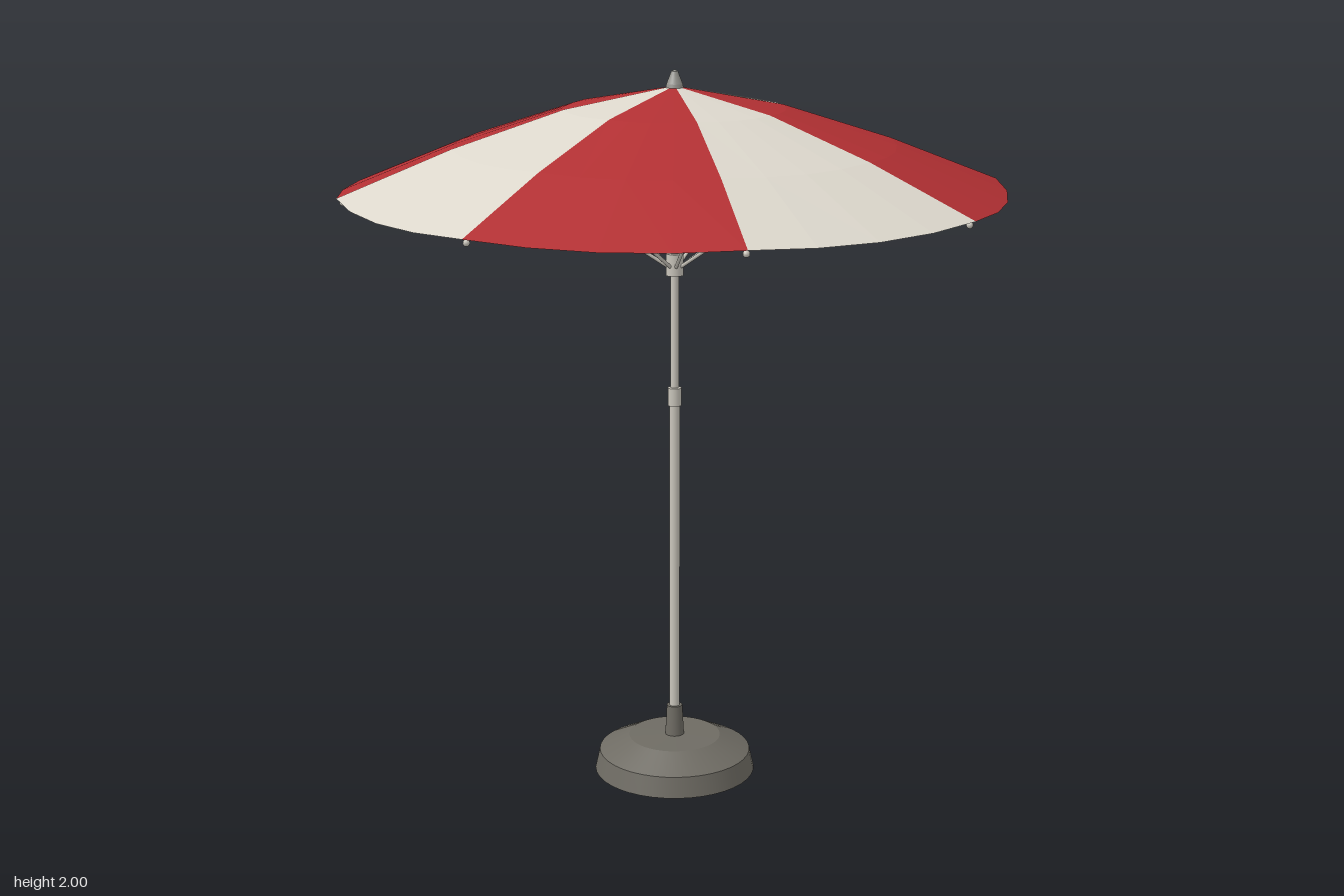
import * as THREE from 'three';

const mat = (name, color, extra = {}) => Object.assign(new THREE.MeshStandardMaterial({ color, ...extra }), { name });

export function createModel() {
  const cloth = { side: THREE.DoubleSide, flatShading: true };
  const red = mat('red cloth', 0xb23033, cloth);
  const cream = mat('cream cloth', 0xdcd7cc, cloth);
  const metal = mat('pale metal', 0xc9c5bb);
  const steel = mat('grey steel', 0x94938d);
  const stone = mat('base grey', 0x6e6b63);

  const model = new THREE.Group();
  model.name = 'parasol';
  const add = (name, geometry, material, parent = model) => {
    const mesh = new THREE.Mesh(geometry, material);
    mesh.name = name;
    parent.add(mesh);
    return mesh;
  };
  // Turned part; each profile step gets its own strip so its edges stay crisp
  const turned = (name, profile, material, sides = 24) => {
    const group = new THREE.Group();
    group.name = name;
    for (let i = 0; i < profile.length - 1; i++) {
      const pts = [profile[i], profile[i + 1]].map(([r, y]) => new THREE.Vector2(r, y));
      add(name + 'Band', new THREE.LatheGeometry(pts, sides), material, group);
    }
    model.add(group);
  };
  // Round bar between two points
  const bar = (name, a, b, r, material, parent) => {
    const dir = b.clone().sub(a);
    const mesh = add(name, new THREE.CylinderGeometry(r, r, dir.length(), 8), material, parent);
    mesh.position.copy(a).add(b).multiplyScalar(0.5);
    mesh.quaternion.setFromUnitVectors(new THREE.Vector3(0, 1, 0), dir.normalize());
  };

  // Weighted base and socket
  turned('base', [[0, 0], [0.228, 0], [0.215, 0.058], [0.13, 0.1], [0, 0.103]], stone, 40);
  turned('socket', [[0.027, 0.1], [0.022, 0.19], [0, 0.19]], stone);

  // Two-stage pole with its collar, runner hub and finial
  turned('lowerPole', [[0.0145, 0.1], [0.0145, 1.1]], metal);
  turned('upperPole', [[0.0115, 1.1], [0.0115, 1.95]], metal);
  turned('collar', [[0, 1.077], [0.019, 1.077], [0.019, 1.127], [0, 1.13]], metal);
  turned('runnerHub', [[0, 1.443], [0.024, 1.443], [0.024, 1.503], [0, 1.503]], metal);
  turned('crownHub', [[0, 1.9], [0.022, 1.9], [0.022, 1.94], [0, 1.94]], metal);
  turned('finial', [[0.025, 1.947], [0.022, 1.962], [0.013, 1.985], [0.009, 1.996], [0, 2]], steel);

  // Canopy: rings of the rib profile, pulled in slightly between the ribs
  const profile = [[0, 1.957], [0.3, 1.9], [0.6, 1.803], [0.905, 1.682]];
  const around = 4;
  const panelGeometry = (start) => {
    const pos = [], index = [];
    profile.forEach(([r, y], ring) => {
      for (let j = 0; j <= around; j++) {
        const sag = Math.sin(Math.PI * j / around) * ring / 3;
        const a = start + (j / around) * Math.PI / 4;
        const rr = r * (1 - 0.014 * sag);
        pos.push(Math.cos(a) * rr, y - 0.008 * sag, Math.sin(a) * rr);
      }
    });
    const w = around + 1;
    for (let ring = 0; ring < profile.length - 1; ring++) {
      for (let j = 0; j < around; j++) {
        const a = ring * w + j, b = a + w;
        if (ring > 0) index.push(a, a + 1, b);
        index.push(a + 1, b + 1, b);
      }
    }
    const g = new THREE.BufferGeometry();
    g.setAttribute('position', new THREE.Float32BufferAttribute(pos, 3));
    g.setIndex(index);
    g.computeVertexNormals();
    return g;
  };

  for (let i = 0; i < 8; i++) {
    add('canopyPanel', panelGeometry(i * Math.PI / 4), i % 2 ? red : cream);

    // Rib under each seam, its tip, and the strut from the runner
    const frame = new THREE.Group();
    frame.name = 'ribFrame';
    frame.rotation.y = i * Math.PI / 4;
    const ribPts = [[0.015, 1.94], [0.3, 1.889], [0.6, 1.792], [0.888, 1.676]]
      .map(([x, y]) => new THREE.Vector3(x, y, 0));
    for (let k = 0; k < 3; k++) bar('rib', ribPts[k], ribPts[k + 1], 0.006, metal, frame);
    add('ribTip', new THREE.SphereGeometry(0.009, 10, 8), metal, frame).position.set(0.888, 1.671, 0);
    bar('strut', new THREE.Vector3(0.018, 1.467, 0), new THREE.Vector3(0.53, 1.812, 0), 0.005, metal, frame);
    model.add(frame);
  }
  return model;
}
